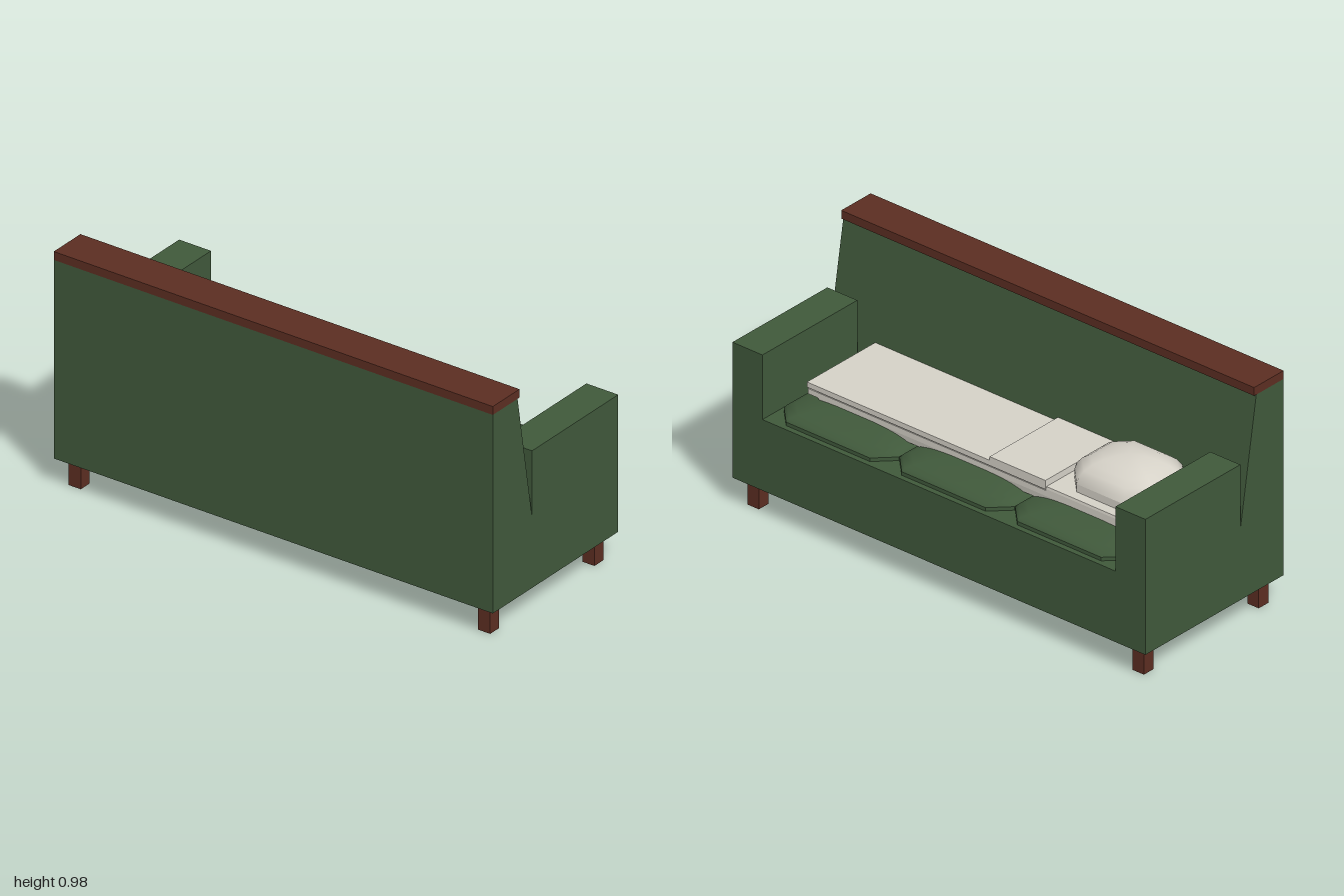
import * as THREE from 'three';
import { mergeVertices } from 'three/addons/utils/BufferGeometryUtils.js';

const fabric = new THREE.MeshStandardMaterial({ color: 0x40593b });
const wood = new THREE.MeshStandardMaterial({ color: 0x5c2e22 });
const linen = new THREE.MeshStandardMaterial({ color: 0xd6d2c8 });

// Box given by its min and max corners
function box(name, mat, [x0, y0, z0], [x1, y1, z1]) {
  const m = new THREE.Mesh(new THREE.BoxGeometry(x1 - x0, y1 - y0, z1 - z0), mat);
  m.position.set((x0 + x1) / 2, (y0 + y1) / 2, (z0 + z1) / 2);
  m.name = name;
  return m;
}

// Rectangle with cut corners, as [x, z] pairs
function octagon(w, d, c) {
  const a = w / 2, b = d / 2;
  return [[a, b - c], [a - c, b], [c - a, b], [-a, b - c],
    [-a, c - b], [c - a, -b], [a - c, -b], [a, c - b]];
}

// Lofts octagon rings [scale, y]; rings run from bottom to top
function loft(w, d, c, rings) {
  const pos = [], idx = [], base = octagon(w, d, c);
  for (const [s, y] of rings) for (const [x, z] of base) pos.push(x * s, y, z * s);
  for (let r = 0; r < rings.length - 1; r++) {
    for (let i = 0; i < 8; i++) {
      const j = (i + 1) % 8, a = r * 8 + i, b = r * 8 + j;
      idx.push(a, a + 8, b, b, a + 8, b + 8);
    }
  }
  const g = new THREE.BufferGeometry();
  g.setAttribute('position', new THREE.Float32BufferAttribute(pos, 3));
  g.setIndex(idx);
  return g;
}

// Stuffed cushion: straight edge band between y0 and y1, smooth dome up to y2
function cushion(name, mat, [x, z], [w, d, c], [y0, y1, y2]) {
  const group = new THREE.Group();
  group.name = name;
  const dome = [];
  for (let i = 0; i <= 6; i++) {
    const t = (i / 6) * Math.PI / 2;
    dome.push([i === 6 ? 0 : Math.cos(t), y1 + (y2 - y1) * Math.sin(t)]);
  }
  const top = mergeVertices(loft(w, d, c, dome));
  top.computeVertexNormals();
  const band = loft(w, d, c, [[0, y0], [1, y0], [1, y1]]).toNonIndexed();
  band.computeVertexNormals();
  for (const g of [top, band]) group.add(new THREE.Mesh(g, mat));
  group.position.set(x, 0, z);
  return group;
}

export function createModel() {
  const model = new THREE.Group();
  model.name = 'sofaBed';

  // Frame: seat, arms and sloping backrest
  model.add(box('seatBase', fabric, [-0.86, 0.115, -0.388], [0.86, 0.415, 0.15]));
  for (const s of [-1, 1]) {
    const arm = box('arm', fabric, [0.855, 0.115, -0.388], [1, 0.688, 0.145]);
    arm.position.x *= s;
    model.add(arm);
  }
  const profile = new THREE.Shape([[0.388, 0.115], [0.388, 0.945], [0.235, 0.945], [0.145, 0.41], [0.145, 0.115]]
    .map(([z, y]) => new THREE.Vector2(-z, y)));
  const backGeo = new THREE.ExtrudeGeometry(profile, { depth: 2, bevelEnabled: false });
  backGeo.translate(0, 0, -1).rotateY(Math.PI / 2);
  const back = new THREE.Mesh(backGeo, fabric);
  back.name = 'backrest';
  model.add(back);
  model.add(box('topRail', wood, [-1, 0.945, 0.223], [1, 0.98, 0.388]));

  // Legs
  for (const sx of [-1, 1]) {
    for (const sz of [-1, 1]) {
      const leg = box('leg', wood, [0.905, 0, 0.295], [0.96, 0.12, 0.35]);
      leg.position.x *= sx;
      leg.position.z *= sz;
      model.add(leg);
    }
  }

  // Three seat cushions
  for (let i = -1; i <= 1; i++) {
    model.add(cushion('seatCushion', fabric, [i * 0.56 - 0.003, -0.11], [0.556, 0.51, 0.075], [0.4, 0.43, 0.48]));
  }

  // Bedding: mattress, sheet, blanket, turned-down fold
  const mattressGeo = loft(1.58, 0.38, 0.055, [[0, 0.45], [0.98, 0.45], [1, 0.475], [1, 0.505], [0.99, 0.515], [0, 0.515]])
    .toNonIndexed();
  mattressGeo.computeVertexNormals();
  const mattress = new THREE.Mesh(mattressGeo, linen);
  mattress.name = 'mattress';
  mattress.position.set(0, 0, -0.025);
  model.add(mattress);
  model.add(box('sheet', linen, [-0.37, 0.478, -0.217], [0.782, 0.5, 0.162]));
  model.add(box('blanket', linen, [-0.37, 0.505, -0.219], [0.785, 0.527, 0.164]));
  model.add(box('blanketFold', linen, [-0.37, 0.527, -0.219], [-0.1, 0.543, 0.164]));

  // Pillow
  model.add(cushion('pillow', linen, [-0.595, -0.003], [0.39, 0.335, 0.08], [0.515, 0.548, 0.65]));
  return model;
}
